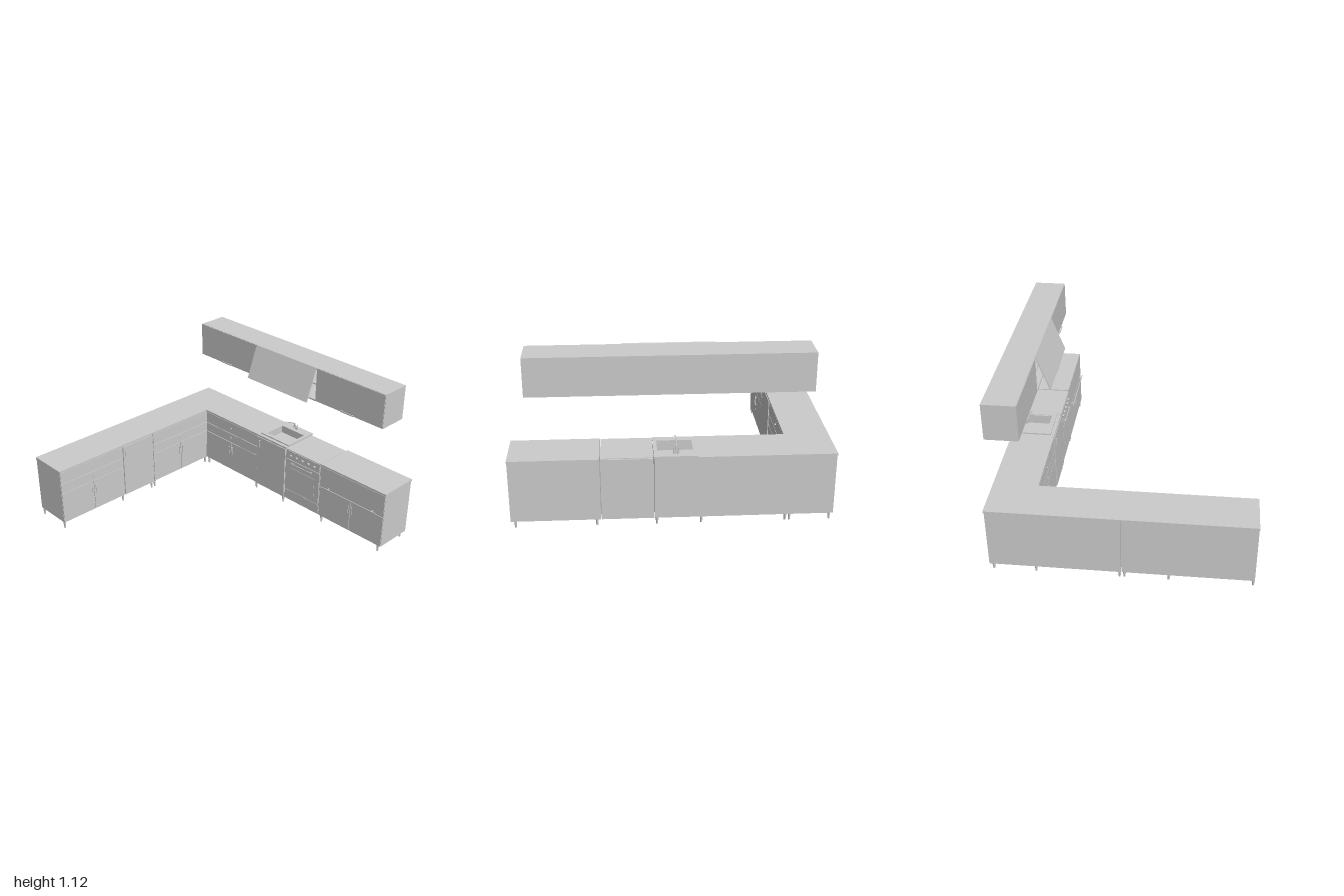
import * as THREE from 'three';

const DEPTH = 0.282, BASE = 0.05, UNDER = 0.452, TOP = 0.465, GAP = 0.004;
const mat = new THREE.MeshStandardMaterial({ color: 0xcccccc });

function add(parent, name, geo, x = 0, y = 0, z = 0) {
  const m = new THREE.Mesh(geo, mat);
  m.name = name;
  m.position.set(x, y, z);
  parent.add(m);
  return m;
}

// Box given by its minimum and maximum on each axis
function block(parent, name, x0, x1, y0, y1, z0, z1) {
  return add(parent, name, new THREE.BoxGeometry(x1 - x0, y1 - y0, z1 - z0),
    (x0 + x1) / 2, (y0 + y1) / 2, (z0 + z1) / 2);
}

// Horizontal slab cut from plan outlines of [x, z] points
function slab(parent, name, outline, y0, y1, hole) {
  const flip = pts => pts.map(([x, z]) => new THREE.Vector2(x, -z));
  const shape = new THREE.Shape(flip(outline));
  if (hole) shape.holes.push(new THREE.Path(flip(hole)));
  const geo = new THREE.ExtrudeGeometry(shape, { depth: y1 - y0, bevelEnabled: false });
  return add(parent, name, geo.rotateX(-Math.PI / 2), 0, y0, 0);
}
const rect = (x0, x1, z0, z1) => [[x0, z0], [x1, z0], [x1, z1], [x0, z1]];

// Bar handle on two posts, in front of z
function handle(parent, x, y, length, vertical, z = 0.004, reach = 0.012) {
  const g = new THREE.Group();
  g.name = 'handle';
  g.position.set(x, y, z);
  if (vertical) g.rotation.z = Math.PI / 2;
  const h = length / 2;
  block(g, 'handleBar', -h, h, -0.004, 0.004, reach - 0.005, reach);
  for (const s of [-1, 1])
    block(g, 'handlePost', s * h * 0.85 - 0.003, s * h * 0.85 + 0.003, -0.003, 0.003, -0.002, reach - 0.004);
  parent.add(g);
}

function knob(parent, x, y, r, depth) {
  add(parent, 'knob', new THREE.CylinderGeometry(r, r, depth, 12).rotateX(Math.PI / 2), x, y, depth / 2);
}

const panel = (p, name, x0, x1, y0, y1, z1 = 0) =>
  block(p, name, x0 + GAP / 2, x1 - GAP / 2, y0 + GAP / 2, y1 - GAP / 2, -0.006, z1);

const carcass = (p, x0, x1, top = UNDER) =>
  block(p, 'carcass', x0, x1, BASE, top, -DEPTH, -0.005);

// Two drawers above a pair of doors
function drawerUnit(p, x0, x1, longBar) {
  const c = (x0 + x1) / 2;
  carcass(p, x0, x1);
  panel(p, 'doorLeft', x0, c, BASE, 0.285);
  panel(p, 'doorRight', c, x1, BASE, 0.285);
  for (const s of [-1, 1]) handle(p, c + s * 0.015, 0.22, 0.06, true, 0, 0.009);
  if (longBar) {
    panel(p, 'drawer', x0, x1, 0.285, UNDER);
    handle(p, c, 0.302, 0.45, false, 0, 0.024);
  } else {
    panel(p, 'lowerDrawer', x0, x1, 0.285, 0.36);
    panel(p, 'upperDrawer', x0, x1, 0.36, UNDER);
    for (const y of [0.325, 0.405]) knob(p, c, y, 0.006, 0.008);
  }
}

// Narrow unit with one full-height door
function doorUnit(p, x0, x1, handleX, top) {
  carcass(p, x0, x1, top);
  panel(p, 'tallDoor', x0, x1, BASE, UNDER, 0.004);
  handle(p, handleX, 0.4, 0.06, true, 0.003, 0.01);
}

function oven(p, x0, x1) {
  block(p, 'ovenBody', x0 + 0.004, x1 - 0.004, BASE, 0.458, -DEPTH, -0.004);
  block(p, 'hobPlate', x0 + 0.006, x1 - 0.006, 0.456, 0.462, -DEPTH + 0.01, 0);
  panel(p, 'ovenDrawer', x0 + 0.006, x1 - 0.006, BASE, 0.13);
  panel(p, 'ovenDoor', x0 + 0.006, x1 - 0.006, 0.13, 0.385, 0.002);
  block(p, 'ovenWindow', x0 + 0.05, x1 - 0.05, 0.18, 0.32, 0, 0.004);
  panel(p, 'controlPanel', x0 + 0.006, x1 - 0.006, 0.385, 0.456, 0.002);
  handle(p, (x0 + x1) / 2, 0.365, 0.2, false, 0.002, 0.018);
  for (let i = 0; i < 5; i++) knob(p, x0 + 0.055 + i * 0.055, 0.42, 0.009, 0.014);
}

function legs(p, xs) {
  const geo = new THREE.CylinderGeometry(0.01, 0.006, BASE, 12);
  for (const x of xs) for (const z of [-0.012, -0.262]) add(p, 'leg', geo, x, BASE / 2, z);
}

function run(parent, name, x, z, turn) {
  const g = new THREE.Group();
  g.name = name;
  g.position.set(x, 0, z);
  g.rotation.y = turn;
  parent.add(g);
  return g;
}

function sink(parent) {
  const g = new THREE.Group();
  g.name = 'sink';
  parent.add(g);
  const bowl = rect(0.595, 0.765, -0.125, 0.095);
  slab(g, 'sinkRim', rect(0.565, 0.828, -0.15, 0.118), TOP - 0.002, 0.474, bowl);
  slab(g, 'sinkWalls', rect(0.59, 0.77, -0.13, 0.1), 0.39, 0.468, bowl);
  block(g, 'sinkFloor', 0.59, 0.77, 0.385, 0.392, -0.13, 0.1);
  add(g, 'drain', new THREE.CylinderGeometry(0.014, 0.014, 0.003, 16), 0.68, 0.393, -0.015);

  // Tap with a slanted spout and two side levers
  const path = new THREE.CurvePath();
  const pts = [[0.79, 0.472], [0.782, 0.52], [0.728, 0.55], [0.71, 0.555]]
    .map(([x, y]) => new THREE.Vector3(x, y, -0.018));
  for (let i = 0; i < 3; i++) path.add(new THREE.LineCurve3(pts[i], pts[i + 1]));
  add(g, 'spout', new THREE.TubeGeometry(path, 18, 0.004, 8, false));
  add(g, 'spoutTip', new THREE.SphereGeometry(0.005, 10, 8), 0.71, 0.555, -0.018);
  for (const s of [-1, 1]) {
    add(g, 'tapBase', new THREE.CylinderGeometry(0.005, 0.007, 0.024, 12), 0.79, 0.484, -0.018 + s * 0.014);
    add(g, 'tapLever', new THREE.CylinderGeometry(0.002, 0.003, 0.022, 8), 0.79, 0.503, -0.018 + s * 0.016)
      .rotation.x = s * 0.25;
  }
}

function upperCabinet(parent) {
  const g = run(parent, 'upperCabinet', 0.61, 0, -Math.PI / 2);
  const y0 = 0.875, y1 = 1.118, back = -0.212, a = -0.26, b = 0.30;
  // Closed bays on both sides
  for (const [x0, x1, hx] of [[-0.835, a, -0.56], [b, 0.872, 0.585]]) {
    block(g, 'closedBay', x0, x1, y0, y1, back, -0.004);
    panel(g, 'flap', x0, x1, y0, y1);
    handle(g, hx, 0.885, 0.11, false, 0, 0.012);
  }
  // Open middle bay with a shelf
  block(g, 'bayBack', a, b, y0, y1, back, back + 0.01);
  block(g, 'bayFloor', a, b, y0, y0 + 0.01, back, 0);
  block(g, 'bayRoof', a, b, y1 - 0.01, y1, back, 0);
  block(g, 'bayShelf', a, b, 0.99, 0.998, back, -0.012);
  // Raised flap, hinged along the top edge
  const flap = new THREE.Group();
  flap.name = 'raisedFlap';
  flap.position.set(0, 1.12, 0.002);
  flap.rotation.x = -0.36;
  block(flap, 'flapPanel', a + 0.002, b - 0.002, -0.243, 0, -0.006, 0.002);
  handle(flap, 0.015, -0.23, 0.11, false, 0.002, 0.012);
  g.add(flap);
}

export function createModel() {
  const kitchen = new THREE.Group();
  kitchen.name = 'cornerKitchen';

  // Base units along the back
  const rear = run(kitchen, 'backRun', 0, -0.715, 0);
  drawerUnit(rear, -0.828, -0.285);
  doorUnit(rear, -0.285, -0.008, -0.265);
  drawerUnit(rear, -0.002, 0.538);
  block(rear, 'cornerCarcass', 0.538, 0.822, BASE, UNDER, -DEPTH, 0);
  legs(rear, [-0.82, -0.3, -0.025, 0.005, 0.53, 0.8]);

  // Base units along the side
  const side = run(kitchen, 'sideRun', 0.54, 0, -Math.PI / 2);
  drawerUnit(side, -0.715, -0.17);
  doorUnit(side, -0.17, 0.115, -0.135, 0.38);
  block(side, 'sinkUnitFront', -0.17, 0.115, 0.37, UNDER, -0.016, -0.005);
  block(side, 'sinkUnitBack', -0.17, 0.115, 0.37, UNDER, -DEPTH, -DEPTH + 0.01);
  block(side, 'sinkUnitSide', 0.105, 0.115, 0.37, UNDER, -DEPTH, -0.005);
  oven(side, 0.115, 0.445);
  drawerUnit(side, 0.445, 0.998, true);
  legs(side, [-0.7, -0.175, 0.1, 0.47, 0.97]);

  // Worktops
  slab(kitchen, 'cornerWorktop',
    [[-0.83, -1], [0.828, -1], [0.828, 0.115], [0.54, 0.115], [0.54, -0.715], [-0.83, -0.715]],
    UNDER, TOP, rect(0.588, 0.772, -0.132, 0.102));
  block(kitchen, 'endWorktop', 0.54, 0.828, UNDER, TOP, 0.445, 1);

  sink(kitchen);
  upperCabinet(kitchen);
  return kitchen;
}
